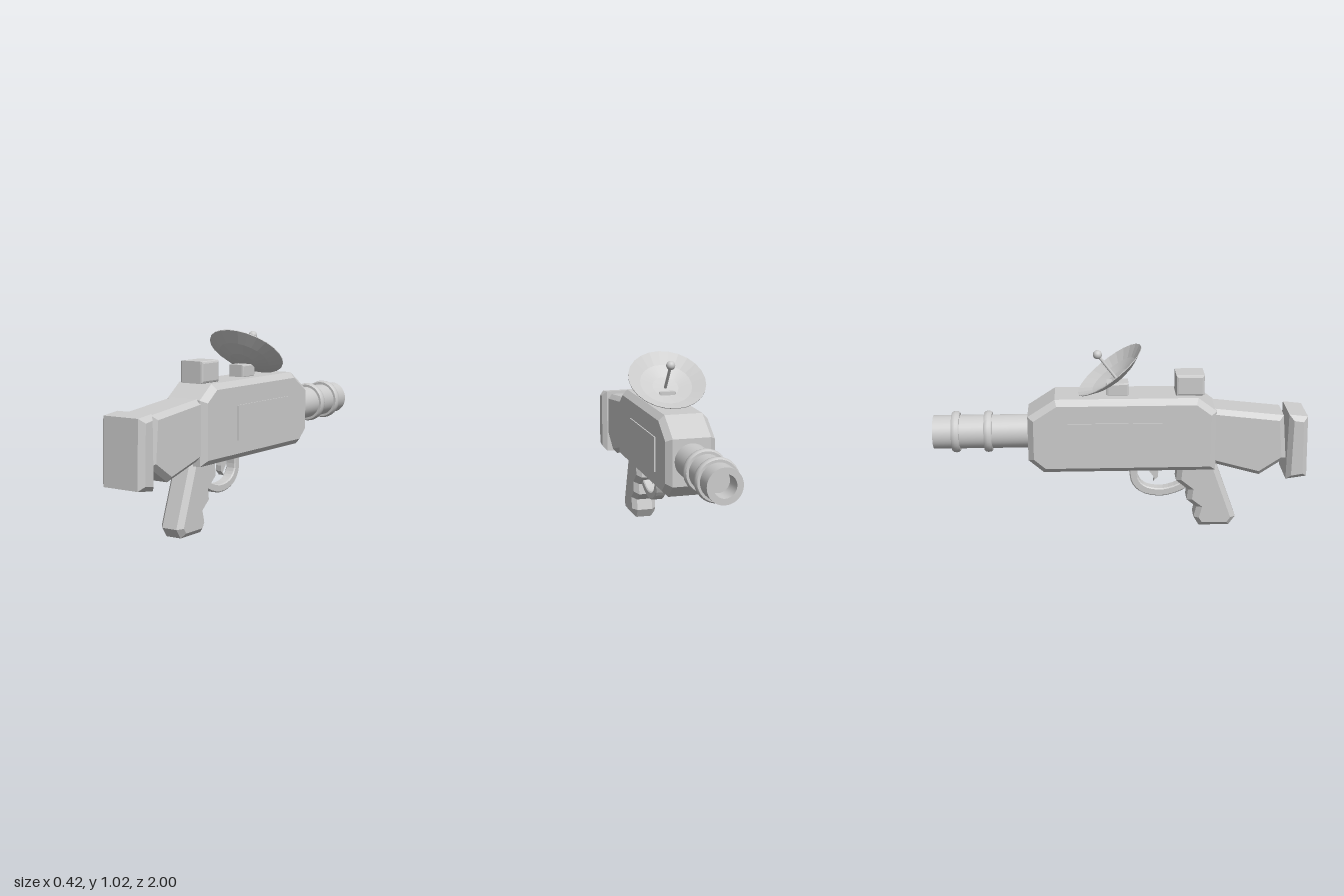
import * as THREE from 'three';
import { toCreasedNormals } from 'three/addons/utils/BufferGeometryUtils.js';

export function createModel() {
  const model = new THREE.Group();
  const grey = new THREE.MeshStandardMaterial({ color: 0xcccccc });
  grey.name = 'grey';

  function add(name, geometry, parent = model) {
    const mesh = new THREE.Mesh(geometry, grey);
    mesh.name = name;
    parent.add(mesh);
    return mesh;
  }

  // Side profile of [z, y] points, extruded across x with chamfered edges
  function slab(name, points, halfWidth, bevel, segments = 1) {
    const shape = new THREE.Shape(points.map(([z, y]) => new THREE.Vector2(-z, y)));
    const geometry = new THREE.ExtrudeGeometry(shape, {
      depth: 2 * (halfWidth - bevel), bevelEnabled: bevel > 0, bevelSize: bevel,
      bevelThickness: bevel, bevelOffset: -bevel, bevelSegments: segments,
    });
    geometry.translate(0, 0, bevel - halfWidth).rotateY(Math.PI / 2);
    return add(name, geometry);
  }

  const rect = (z0, z1, y0, y1) => [[z0, y0], [z0, y1], [z1, y1], [z1, y0]];

  function lathe(points, segments, crease) {
    const g = new THREE.LatheGeometry(points.map(([r, y]) => new THREE.Vector2(r, y)), segments);
    return toCreasedNormals(g, crease);
  }

  // Main body, stock and grip
  slab('body', [[0.505, 0.355], [0.505, 0.69], [0.405, 0.765], [-0.35, 0.765],
    [-0.495, 0.67], [-0.495, 0.425], [-0.415, 0.355]], 0.13, 0.03);
  slab('stock', [[0.46, 0.395], [0.46, 0.7], [0.865, 0.655], [0.887, 0.41], [0.745, 0.315]], 0.105, 0.026);
  slab('buttPlate', [[0.99, 0.655], [0.89, 0.667], [0.888, 0.297], [1, 0.313]], 0.13, 0.026);
  slab('grip', [[0.51, 0.385], [0.63, 0.05], [0.595, 0], [0.43, 0], [0.4, 0.05], [0.415, 0.11],
    [0.36, 0.155], [0.367, 0.215], [0.3, 0.27], [0.31, 0.385]], 0.07, 0.026);

  // Raised panels on both sides
  for (const side of [-1, 1]) {
    const panel = add(side > 0 ? 'leftPanel' : 'rightPanel', new THREE.BoxGeometry(0.009, 0.185, 0.5));
    panel.position.set(side * 0.132, 0.547, -0.035);
  }

  // Trigger guard: a curved band with an even thickness
  const path = new THREE.CatmullRomCurve3([[0.37, 0.255], [0.32, 0.22], [0.22, 0.193], [0.12, 0.215],
    [0.075, 0.27], [0.07, 0.37]].map(([z, y]) => new THREE.Vector3(-z, y, 0)));
  const outer = [], inner = [];
  for (let i = 0; i <= 16; i++) {
    const p = path.getPoint(i / 16), t = path.getTangent(i / 16);
    outer.push([-(p.x + t.y * 0.022), p.y - t.x * 0.022]);
    inner.unshift([-(p.x - t.y * 0.022), p.y + t.x * 0.022]);
  }
  slab('triggerGuard', [...outer, ...inner], 0.03, 0.006);
  slab('trigger', [[0.19, 0.37], [0.153, 0.37], [0.158, 0.31], [0.185, 0.275], [0.178, 0.255],
    [0.203, 0.28], [0.205, 0.31]], 0.016, 0);

  // Top blocks
  slab('sightBlock', rect(0.44, 0.29, 0.765, 0.878), 0.07, 0.012, 2);
  slab('dishMount', rect(0.04, -0.075, 0.76, 0.83), 0.045, 0.008, 2);

  // Hollow barrel with two rounded rings
  const barrel = new THREE.Group();
  barrel.name = 'barrel';
  barrel.position.y = 0.555;
  barrel.rotation.x = -Math.PI / 2;
  model.add(barrel);
  add('barrelTube', lathe([[0, 0.45], [0.09, 0.45], [0.09, 1], [0.058, 1], [0.058, 0.9], [0, 0.9]], 32, 0.6), barrel);
  for (const y of [0.708, 0.88]) {
    add('barrelRing', lathe([[0.085, y - 0.021], [0.103, y - 0.021], [0.109, y - 0.014], [0.111, y],
      [0.109, y + 0.014], [0.103, y + 0.021], [0.085, y + 0.021]], 32, 0.8), barrel);
  }

  // Tilted dish with its antenna
  const dish = new THREE.Group();
  dish.name = 'dish';
  dish.position.set(0, 0.892, -0.058);
  dish.rotation.x = -Math.atan2(0.6, 0.8);
  model.add(dish);
  const bowl = [[0, -0.064], [0.07, -0.058], [0.14, -0.036], [0.209, 0]];
  const lining = bowl.map(([r, y]) => [r, y + 0.004]).reverse();
  add('dishBowl', lathe([...bowl, ...lining], 24, 0.1), dish);
  add('antennaRod', new THREE.CylinderGeometry(0.008, 0.008, 0.17, 12), dish).position.y = 0.022;
  add('antennaTip', new THREE.SphereGeometry(0.024, 16, 12), dish).position.y = 0.107;

  return model;
}
